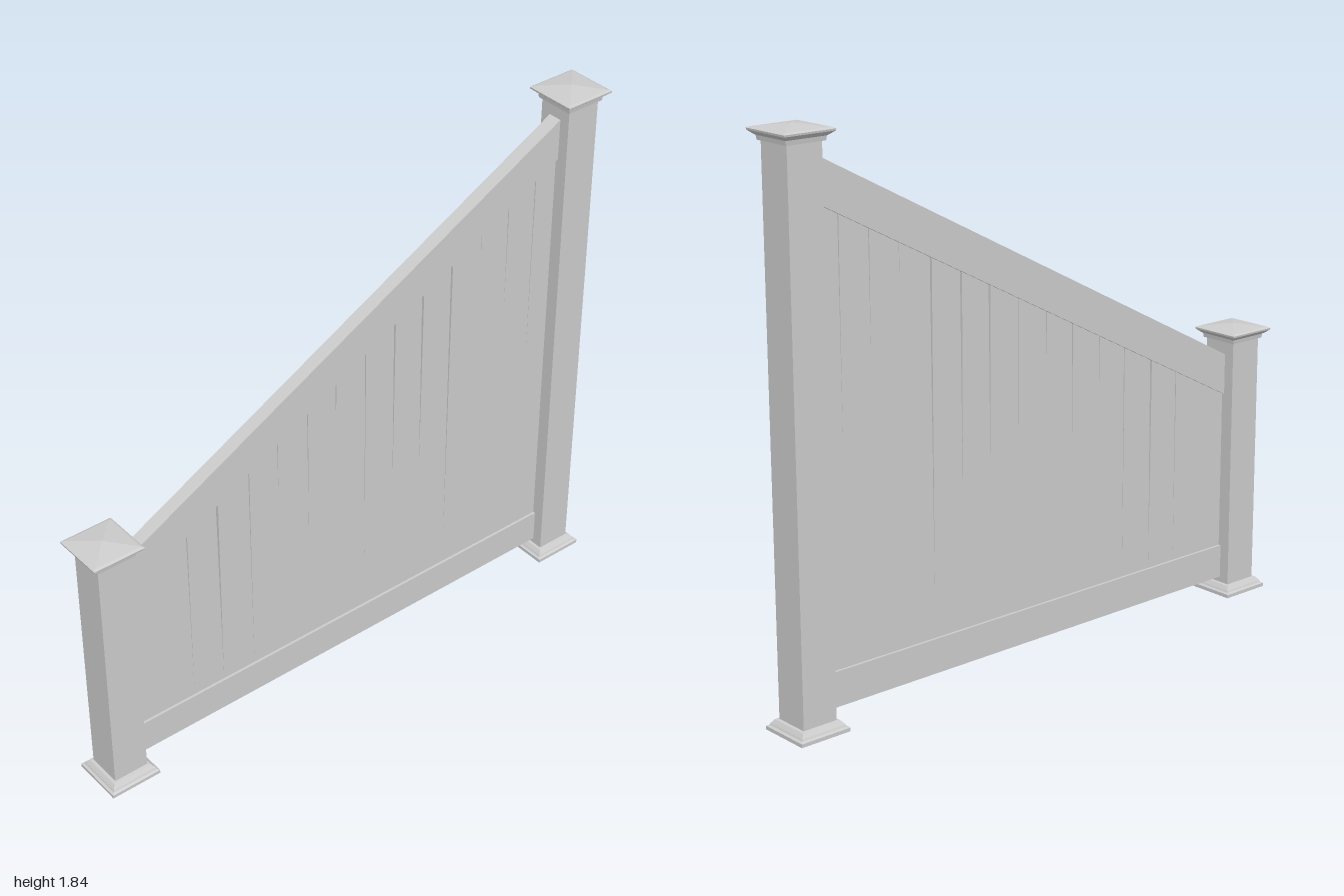
import * as THREE from 'three';

const mat = new THREE.MeshStandardMaterial({ color: 0xcccccc, flatShading: true });

function add(parent, name, geometry) {
  const mesh = new THREE.Mesh(geometry, mat);
  mesh.name = name;
  parent.add(mesh);
  return mesh;
}

// Square moulding: profile points are [half width, height]
function squareLathe(profile) {
  const pts = profile.map(([r, y]) => new THREE.Vector2(r * Math.SQRT2, y));
  return new THREE.LatheGeometry(pts, 4).rotateY(Math.PI / 4).toNonIndexed();
}

// Flat outline in x/y, given thickness centred on z = 0
function slab(points, depth) {
  const shape = new THREE.Shape(points.map(([x, y]) => new THREE.Vector2(x, y)));
  return new THREE.ExtrudeGeometry(shape, { depth, bevelEnabled: false }).translate(0, 0, -depth / 2);
}

const HALF = 0.85;    // half the span between the posts
const railBottom = (x) => 1.16 + x * 0.5235;   // lower edge of the sloping rail

function makePost(name, x, height) {
  const post = new THREE.Group();
  post.name = name;
  post.position.x = x;
  const shaftHeight = height - 0.05;
  add(post, 'postShaft', new THREE.BoxGeometry(0.122, shaftHeight, 0.122)).position.y = shaftHeight / 2 + 0.004;
  // stepped skirt at the foot
  add(post, 'postBase', squareLathe([
    [0.06, 0], [0.09, 0], [0.09, 0.012], [0.083, 0.016], [0.08, 0.022], [0.071, 0.034], [0.06, 0.036],
  ]));
  // moulded cap with a shallow pyramid top
  add(post, 'postCap', squareLathe([
    [0, -0.05], [0.069, -0.05], [0.071, -0.036], [0.078, -0.031], [0.089, -0.022],
    [0.09, -0.016], [0.082, -0.012], [0, 0],
  ])).position.y = height;
  return post;
}

export function createModel() {
  const fence = new THREE.Group();
  fence.name = 'slopedFencePanel';

  fence.add(makePost('shortPost', -0.91, 0.95));
  fence.add(makePost('tallPost', 0.91, 1.838));

  // rails
  add(fence, 'bottomRail', new THREE.BoxGeometry(2 * HALF, 0.115, 0.048)).position.y = 0.1125;
  add(fence, 'slopedTopRail', slab([
    [-HALF, railBottom(-HALF)], [HALF, railBottom(HALF)],
    [HALF, railBottom(HALF) + 0.14], [-HALF, railBottom(-HALF) + 0.14],
  ], 0.048));

  // seams between boards: [x, lowest point of the gap, gap width at the top]
  const seams = [
    [-HALF, 0.17, 0], [-0.738, 0.17, 0],
    [-0.622, 0.17, 0.004], [-0.505, 0.17, 0.009], [-0.382, 0.17, 0.004], [-0.27, 0.82, 0.004],
    [-0.152, 0.57, 0.004], [-0.04, 0.89, 0.004], [0.078, 0.37, 0.004], [0.195, 0.62, 0.008],
    [0.308, 0.61, 0.009], [0.425, 0.28, 0.008], [0.545, 1.35, 0.004], [0.656, 1.1, 0.004],
    [0.766, 0.84, 0.004], [HALF, 0.17, 0],
  ];

  // boards, each side narrowing towards the top where a gap opens
  const boards = new THREE.Group();
  boards.name = 'boards';
  fence.add(boards);
  for (let i = 0; i < seams.length - 1; i++) {
    const [xl, yl, wl] = seams[i];
    const [xr, yr, wr] = seams[i + 1];
    add(boards, `board${i + 1}`, slab([
      [xl, 0.1], [xr, 0.1], [xr, yr],
      [xr - wr / 2, railBottom(xr) + 0.05], [xl + wl / 2, railBottom(xl) + 0.05], [xl, yl],
    ], 0.03));
  }
  return fence;
}
